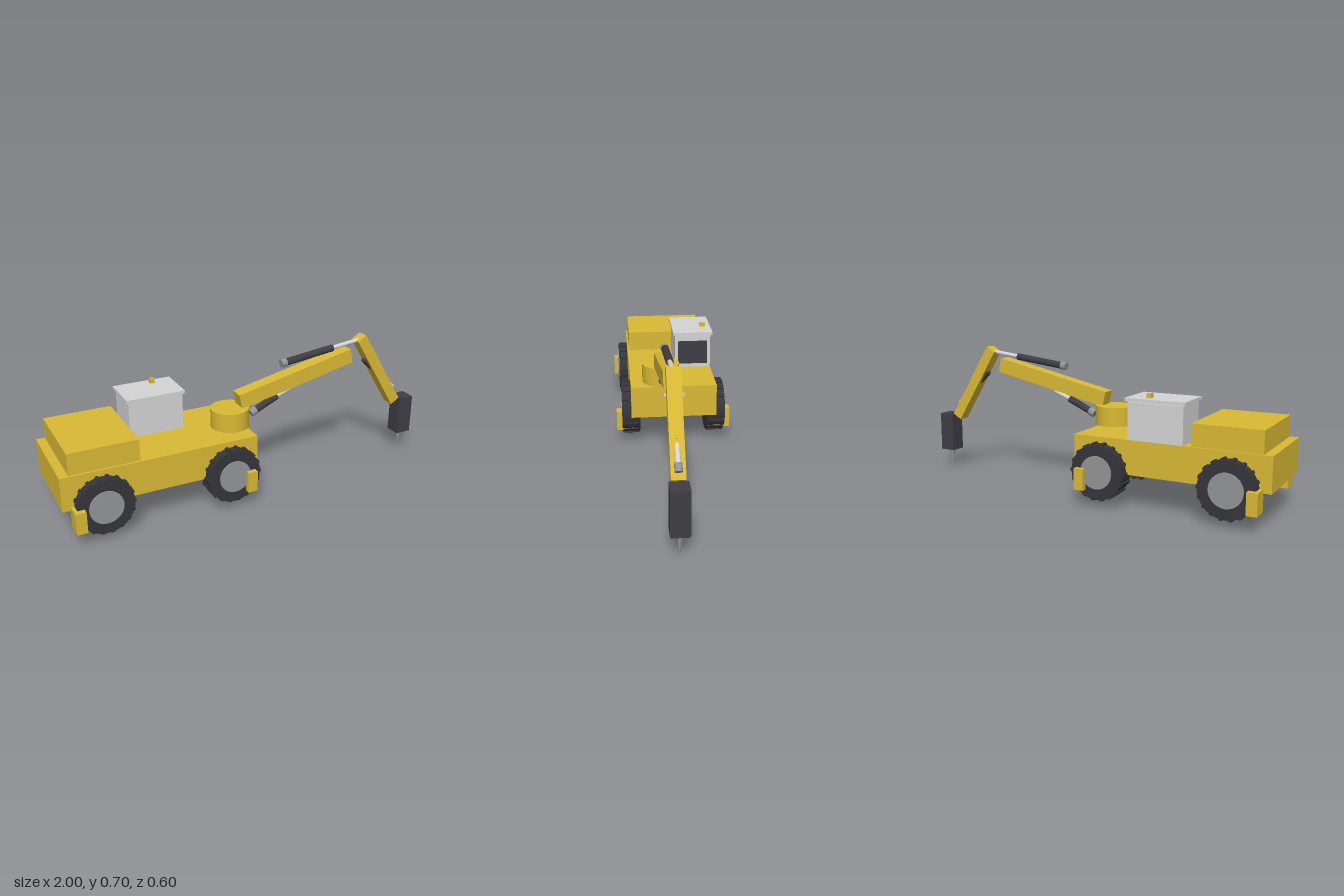
import * as THREE from 'three';

const mat = (name, color) => {
  const m = new THREE.MeshStandardMaterial({ color });
  m.name = name;
  return m;
};

export function createModel() {
  const root = new THREE.Group();
  root.name = 'rockBreaker';
  const yellow = mat('yellow paint', 0xd9b935);
  const pale = mat('pale grey', 0xd4d4d4);
  const grey = mat('mid grey', 0x929496);
  const dark = mat('dark grey', 0x3e3d44);
  const rubber = mat('rubber', 0x35353a);

  const add = (name, geo, material, parent = root) => {
    const m = new THREE.Mesh(geo, material);
    m.name = name;
    parent.add(m);
    return m;
  };
  // Box given by its lower and upper limits
  const box = (name, material, x0, x1, y0, y1, z0, z1) => {
    const m = add(name, new THREE.BoxGeometry(x1 - x0, y1 - y0, z1 - z0), material);
    m.position.set((x0 + x1) / 2, (y0 + y1) / 2, (z0 + z1) / 2);
    return m;
  };
  const armZ = 0.064;
  // Beam or rod lying between two points of the arm plane
  const between = (mesh, a, b) => {
    mesh.position.set((a[0] + b[0]) / 2, (a[1] + b[1]) / 2, armZ);
    mesh.rotation.z = Math.atan2(b[1] - a[1], b[0] - a[0]);
    return mesh;
  };
  const dist = (a, b) => Math.hypot(b[0] - a[0], b[1] - a[1]);
  const beam = (name, a, b, height, width) =>
    between(add(name, new THREE.BoxGeometry(dist(a, b), height, width), yellow), a, b);
  const rod = (name, material, a, b, r) =>
    between(add(name, new THREE.CylinderGeometry(r, r, dist(a, b), 16).rotateZ(-Math.PI / 2), material), a, b);

  // Chassis, engine hood and front plate
  box('chassis', yellow, -1, -0.03, 0.166, 0.334, -0.222, 0.222);
  box('engineHood', yellow, -0.957, -0.625, 0.334, 0.44, -0.212, 0.212);
  box('frontPlate', pale, -0.032, -0.024, 0.28, 0.299, -0.053, 0.053);

  // Cab
  box('cab', pale, -0.59, -0.314, 0.334, 0.513, -0.222, -0.031);
  box('cabRoof', pale, -0.6, -0.303, 0.517, 0.533, -0.233, -0.02);
  box('windscreen', dark, -0.315, -0.308, 0.356, 0.483, -0.205, -0.046);
  box('beacon', yellow, -0.423, -0.4, 0.535, 0.556, -0.203, -0.177);

  // Wheels with cross lugs and rims
  const lugs = 18;
  for (const x of [-0.813, -0.176]) {
    for (const side of [1, -1]) {
      const wheel = new THREE.Group();
      wheel.name = 'wheel';
      wheel.position.set(x, 0.17, side * 0.223);
      root.add(wheel);
      add('tyre', new THREE.CylinderGeometry(0.134, 0.134, 0.094, 36).rotateX(Math.PI / 2), rubber, wheel);
      const rim = add('rim', new THREE.CylinderGeometry(0.081, 0.081, 0.04, 28).rotateX(Math.PI / 2), grey, wheel);
      rim.position.z = side * 0.033;
      for (let i = 0; i < lugs; i++) {
        const a = (i / lugs) * Math.PI * 2;
        const lug = add('lug', new THREE.BoxGeometry(0.016, 0.016, 0.086), rubber, wheel);
        lug.position.set(Math.cos(a) * 0.133, Math.sin(a) * 0.133, 0);
        lug.rotation.z = a;
      }
    }
  }

  // Stabiliser feet
  for (const x of [-0.937, -0.093]) {
    for (const side of [1, -1]) {
      const foot = box('stabiliser', yellow, x - 0.025, x + 0.025, 0.08, 0.185, -0.043, 0.043);
      foot.position.z = side * 0.255;
    }
  }

  // Turret and arm
  const turret = add('turret', new THREE.CylinderGeometry(0.096, 0.096, 0.096, 32), yellow);
  turret.position.set(-0.104, 0.391, armZ);
  beam('boom', [-0.06, 0.47], [0.58, 0.609], 0.076, 0.072);
  beam('stick', [0.644, 0.69], [0.89, 0.297], 0.056, 0.063);

  // Hydraulic cylinders: end cap, barrel and piston
  const ram = (name, cap, capEnd, barrelEnd, rodEnd) => {
    rod(name + 'Cap', grey, cap, capEnd, 0.021);
    rod(name + 'Barrel', dark, capEnd, barrelEnd, 0.018);
    rod(name + 'Piston', pale, barrelEnd, rodEnd, 0.011);
  };
  ram('stickRam', [0.182, 0.62], [0.21, 0.6235], [0.482, 0.657], [0.64, 0.6765]);
  ram('boomRam', [0.012, 0.385], [0.042, 0.398], [0.16, 0.451], [0.25, 0.486]);
  rod('hammerRamBarrel', dark, [0.684, 0.562], [0.815, 0.442], 0.016);
  rod('hammerRamPiston', pale, [0.815, 0.442], [0.886, 0.374], 0.012);
  rod('hammerRamCap', grey, [0.886, 0.374], [0.91, 0.347], 0.017);

  // Hammer and chisel
  box('hammer', dark, 0.915, 1, 0.098, 0.308, armZ - 0.042, armZ + 0.042);
  const chisel = add('chisel', new THREE.CylinderGeometry(0.014, 0.004, 0.1, 16), grey);
  chisel.position.set(0.957, 0.05, armZ);

  return root;
}
